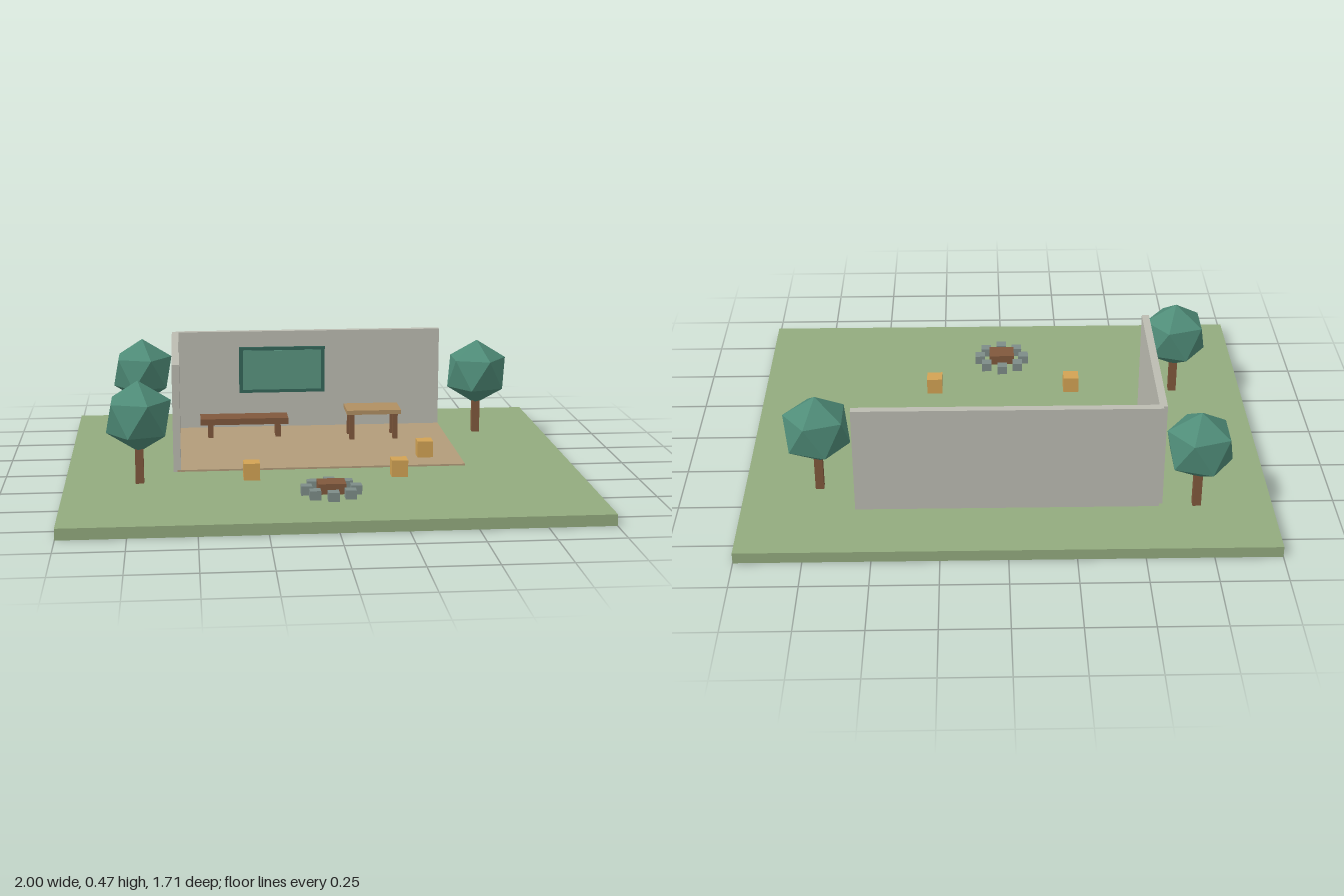
import * as THREE from 'three';

const mat = (color) => new THREE.MeshStandardMaterial({ color, flatShading: true });
const M = {
  grass: mat(0x93ab7e), floor: mat(0xb39c7a), wall: mat(0xbcbcb2),
  frame: mat(0x35665a), panel: mat(0x5a9480), leaf: mat(0x4f8c78),
  wood: mat(0x80583c), tableTop: mat(0xb08f62), crate: mat(0xd2a354), stone: mat(0x7d8c88),
};
const GROUND = 0.043, FLOOR = 0.05;

// Box given by its extents along each axis
function box(parent, name, material, [x0, x1], [y0, y1], [z0, z1]) {
  const mesh = new THREE.Mesh(new THREE.BoxGeometry(x1 - x0, y1 - y0, z1 - z0), material);
  mesh.position.set((x0 + x1) / 2, (y0 + y1) / 2, (z0 + z1) / 2);
  mesh.name = name;
  parent.add(mesh);
  return mesh;
}

const around = (c, size) => [c - size / 2, c + size / 2];

function group(parent, name, x = 0, z = 0) {
  const g = new THREE.Group();
  g.name = name;
  g.position.set(x, 0, z);
  parent.add(g);
  return g;
}

export function createModel() {
  const root = new THREE.Group();
  root.name = 'outdoorRoom';

  // Lawn, floor and the two walls
  box(root, 'lawn', M.grass, [-1, 1], [0, GROUND], [-0.857, 0.857]);
  box(root, 'floor', M.floor, [-0.571, 0.571], [GROUND - 0.007, FLOOR], [-0.571, 0.143]);
  box(root, 'backWall', M.wall, [-0.571, 0.571], [GROUND, 0.471], [-0.586, -0.557]);
  box(root, 'sideWall', M.wall, [-0.586, -0.557], [GROUND, 0.471], [-0.571, 0.143]);

  // Framed board on the back wall
  const board = group(root, 'board', -0.114, 0);
  box(board, 'boardFrame', M.frame, around(0, 0.371), around(0.303, 0.2), [-0.56, -0.546]);
  box(board, 'boardPanel', M.panel, around(0, 0.338), around(0.303, 0.172), [-0.55, -0.543]);

  // Bench with two slab legs
  const bench = group(root, 'bench', -0.286, -0.404);
  box(bench, 'benchSeat', M.wood, around(0, 0.371), [0.108, 0.134], around(0, 0.1));
  for (const s of [-1, 1])
    box(bench, 'benchLeg', M.wood, around(s * 0.143, 0.022), [FLOOR, 0.109], around(0, 0.071));

  // Table with four legs
  const table = group(root, 'table', 0.256, -0.349);
  box(table, 'tableTop', M.tableTop, around(0, 0.229), [0.159, 0.177], around(0, 0.143));
  for (const sx of [-1, 1]) for (const sz of [-1, 1])
    box(table, 'tableLeg', M.wood, around(sx * 0.092, 0.02), [FLOOR, 0.16], around(sz * 0.049, 0.02));

  // Crates
  for (const [x, z] of [[-0.286, 0.286], [0.286, 0.286], [0.428, 0]])
    box(root, 'crate', M.crate, around(x, 0.063), [FLOOR, 0.116], around(z, 0.063));

  // Fire pit: ring of stones around a log block
  const pit = group(root, 'firePit', 0, 0.524);
  box(pit, 'logs', M.wood, around(0, 0.104), [0.058, 0.098], around(0, 0.082));
  for (let i = 0; i < 8; i++) {
    const a = (i * Math.PI) / 4;
    box(pit, 'stone', M.stone, around(0.093 * Math.cos(a), 0.041), [FLOOR, 0.085],
      around(0.093 * Math.sin(a), 0.041));
  }

  // Trees: square trunk, icosahedral crown standing on a corner
  const crownShape = new THREE.IcosahedronGeometry(0.139, 0);
  crownShape.rotateZ(-Math.atan(2 / (1 + Math.sqrt(5))));
  for (const [x, z] of [[-0.714, -0.571], [-0.714, 0.286], [0.714, -0.429]]) {
    const tree = group(root, 'tree', x, z);
    box(tree, 'trunk', M.wood, around(0, 0.032), [GROUND, 0.19], around(0, 0.032));
    const crown = new THREE.Mesh(crownShape, M.leaf);
    crown.name = 'crown';
    crown.position.y = 0.304;
    tree.add(crown);
  }

  return root;
}
